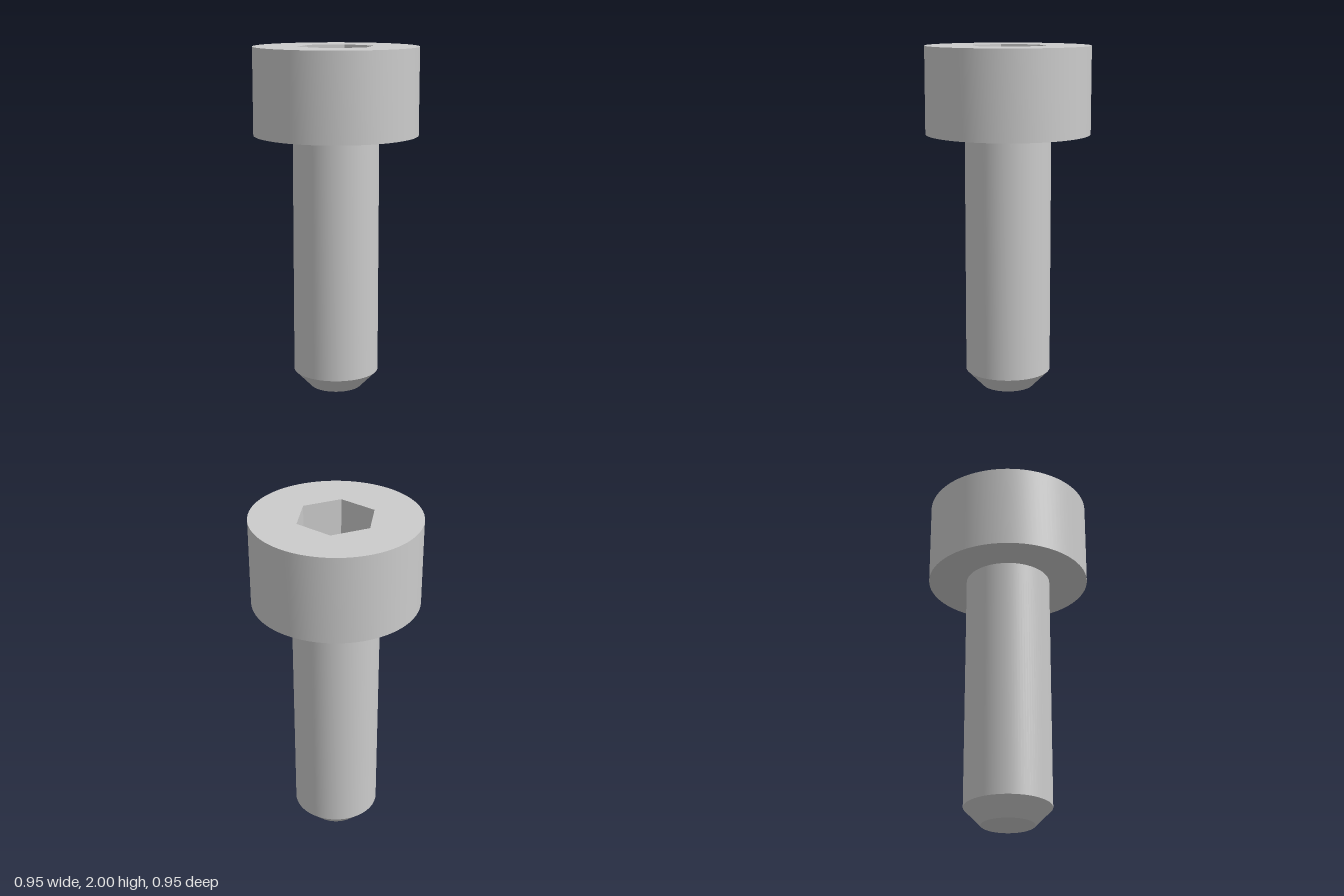
import * as THREE from 'three';
import { toCreasedNormals } from 'three/addons/utils/BufferGeometryUtils.js';

const SEGMENTS = 96;
const HEAD_R = 0.473, SHANK_R = 0.248, TIP_R = 0.15, SOCKET_R = 0.225;
const TOP = 2, HEAD_BASE = 1.5, CHAMFER = 0.1, SOCKET_FLOOR = 1.75;

export function createModel() {
  const group = new THREE.Group();
  group.name = 'socketHeadScrew';
  const material = new THREE.MeshStandardMaterial({ color: 0xcccccc });

  const add = (name, geometry) => {
    const mesh = new THREE.Mesh(geometry, material);
    mesh.name = name;
    group.add(mesh);
  };
  // Turned surface with sharp edges between profile sections
  const turned = (profile, segments = SEGMENTS, start = 0) => toCreasedNormals(
    new THREE.LatheGeometry(profile.map(([r, y]) => new THREE.Vector2(r, y)), segments, start),
    Math.PI / 6
  );

  // Shank with a chamfered tip
  add('shank', turned([[0, 0], [TIP_R, 0], [SHANK_R, CHAMFER], [SHANK_R, HEAD_BASE]]));

  // Underside and side of the cylindrical head
  add('head', turned([[SHANK_R, HEAD_BASE], [HEAD_R, HEAD_BASE], [HEAD_R, TOP]]));

  // Flat top of the head around the hexagonal opening
  const face = new THREE.Shape().absarc(0, 0, HEAD_R, 0, Math.PI * 2);
  const corners = Array.from({ length: 6 }, (_, i) => {
    const a = -i * Math.PI / 3;
    return new THREE.Vector2(SOCKET_R * Math.cos(a), SOCKET_R * Math.sin(a));
  });
  face.holes.push(new THREE.Path(corners));
  add('headTop', new THREE.ShapeGeometry(face, SEGMENTS).rotateX(-Math.PI / 2).translate(0, TOP, 0));

  // Hexagonal socket: profile runs downward so its faces point inward
  add('hexSocket', turned([[SOCKET_R, TOP], [SOCKET_R, SOCKET_FLOOR], [0, SOCKET_FLOOR]], 6, Math.PI / 6));

  return group;
}
